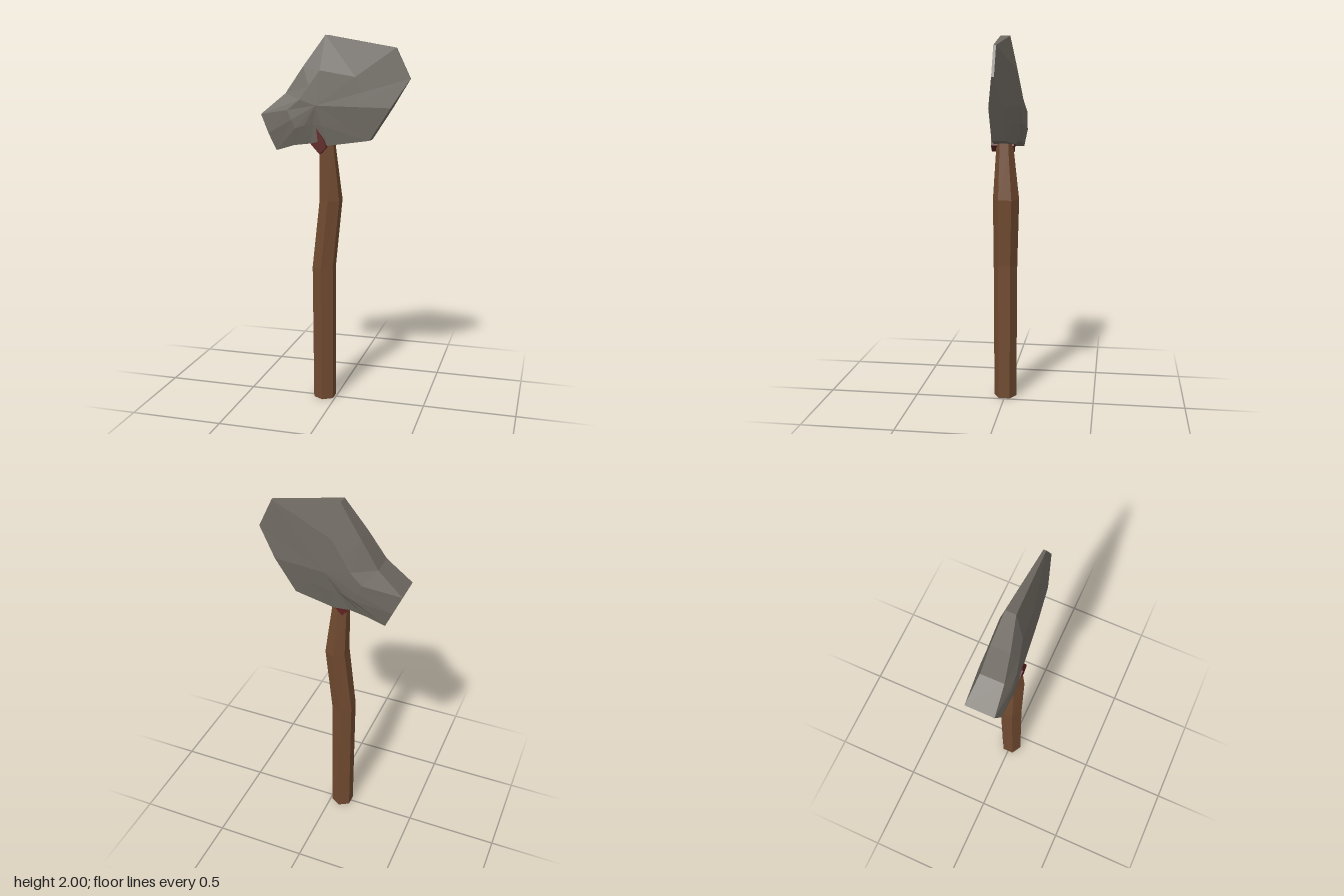
import * as THREE from 'three';

const stone = new THREE.MeshStandardMaterial({ color: 0x6d6860, flatShading: true });
stone.name = 'grey stone';
const wood = new THREE.MeshStandardMaterial({ color: 0x704a30, flatShading: true });
wood.name = 'brown wood';
const red = new THREE.MeshStandardMaterial({ color: 0x5e2222, flatShading: true });
red.name = 'dark red binding';

// Head outline, counter-clockwise from the front: x, y, front z, back z, bulge halfway to the hub
const outline = [
  [-0.31, 1.40, 0.07, -0.075, 0.015],
  [-0.21, 1.43, 0.07, -0.075, 0.01],
  [-0.12, 1.44, 0.06, -0.065, 0.003],
  [-0.03, 1.43, 0.06, -0.06, 0.003],
  [0.19, 1.46, 0.037, -0.037, 0],
  [0.30, 1.63, 0.036, -0.04, 0],
  [0.395, 1.78, 0.007, -0.007, 0],
  [0.32, 1.935, 0.007, -0.007, 0],
  [-0.05, 2.00, 0.025, -0.028, 0.012],
  [-0.165, 1.84, 0.048, -0.05, 0.012],
  [-0.26, 1.70, 0.06, -0.062, 0.015],
  [-0.395, 1.59, 0.07, -0.083, 0.012],
  [-0.35, 1.49, 0.082, -0.09, 0.01],
];

function headGeometry() {
  const pos = [];
  const tri = (a, b, c) => pos.push(...a, ...b, ...c);
  const hubs = [[-0.09, 1.64, 0.083], [0.01, 1.64, -0.087]];
  const rim = (p, side) => [p[0], p[1], p[2 + side]];
  const mid = (p, side) => {
    const m = rim(p, side).map((v, k) => (v + hubs[side][k]) / 2);
    m[2] += side ? -p[4] : p[4];
    return m;
  };
  outline.forEach((p, i) => {
    const q = outline[(i + 1) % outline.length];
    // front and back cheeks
    for (const side of [0, 1]) {
      const [a, b] = side ? [q, p] : [p, q];
      const ma = mid(a, side), mb = mid(b, side), ra = rim(a, side), rb = rim(b, side);
      tri(hubs[side], ma, mb);
      tri(ma, ra, rb);
      tri(ma, rb, mb);
    }
    // edge strip joining both cheeks
    tri(rim(p, 0), rim(p, 1), rim(q, 1));
    tri(rim(p, 0), rim(q, 1), rim(q, 0));
  });
  const g = new THREE.BufferGeometry();
  g.setAttribute('position', new THREE.Float32BufferAttribute(pos, 3));
  g.computeVertexNormals();
  return g;
}

// Crooked six-sided handle: y, centre x, centre z, radius x, radius z
const levels = [
  [0, -0.065, 0, 0.0635, 0.063],
  [0.76, -0.067, 0, 0.066, 0.066],
  [1.13, -0.03, -0.008, 0.063, 0.072],
  [1.40, -0.045, 0, 0.046, 0.048],
  [1.50, -0.05, 0, 0.04, 0.042],
];

function handleGeometry() {
  const n = levels.length - 1;
  const g = new THREE.CylinderGeometry(1, 1, 1, 6, n).toNonIndexed();
  const p = g.attributes.position;
  for (let i = 0; i < p.count; i++) {
    const [y, cx, cz, rx, rz] = levels[Math.round((p.getY(i) + 0.5) * n)];
    p.setXYZ(i, cx + p.getX(i) * rx, y, cz + p.getZ(i) * rz);
  }
  g.computeVertexNormals();
  return g;
}

// Jagged wedge of binding between handle and head
function bindingGeometry() {
  const shape = new THREE.Shape([
    [-0.12, 1.44], [-0.07, 1.385], [-0.035, 1.42], [-0.045, 1.46], [-0.088, 1.52], [-0.08, 1.45],
  ].map(([x, y]) => new THREE.Vector2(x, y)));
  const g = new THREE.ExtrudeGeometry(shape, { depth: 0.125, bevelEnabled: false });
  g.translate(0, 0, -0.05);
  return g;
}

export function createModel() {
  const model = new THREE.Group();
  model.name = 'stoneAxe';
  const add = (name, geometry, material) => {
    const mesh = new THREE.Mesh(geometry, material);
    mesh.name = name;
    model.add(mesh);
  };
  add('axeHead', headGeometry(), stone);
  add('handle', handleGeometry(), wood);
  add('binding', bindingGeometry(), red);
  return model;
}
